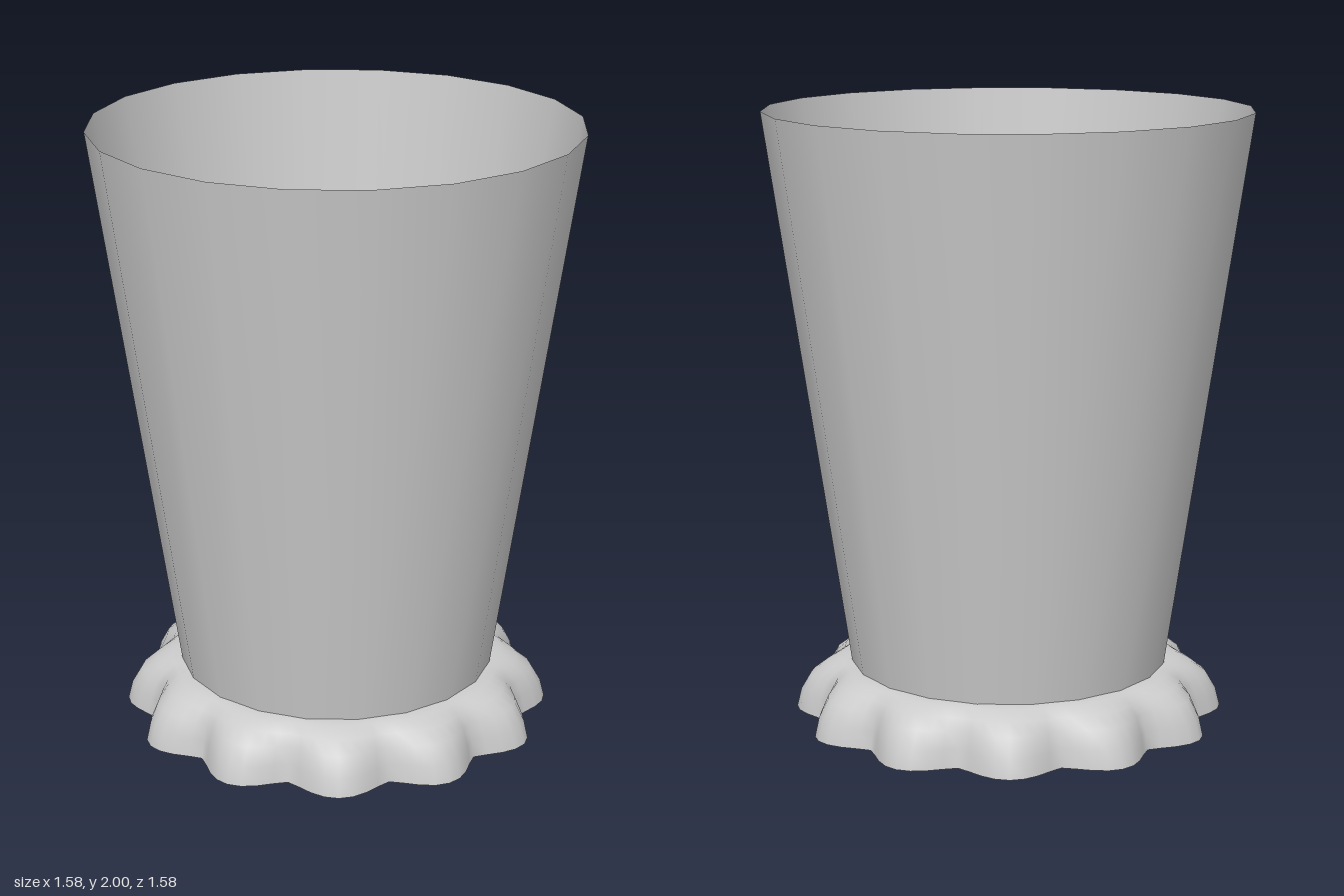
import * as THREE from 'three';

const SIDES = 20;      // facets of the cup wall
const LOBES = 12;      // scallops around the foot
const PHASE = -0.09;   // turn of the scallops

// Scalloped skirt: closed rings swept from the cup wall out to the wavy hem
function skirtGeometry() {
  // [notch radius, lobe radius, notch height, lobe height]
  const rings = [
    [0.515, 0.515, 0.18, 0.18],
    [0.55, 0.56, 0.175, 0.178],
    [0.58, 0.61, 0.15, 0.155],
    [0.6, 0.66, 0.115, 0.12],
    [0.615, 0.695, 0.06, 0.06],
    [0.625, 0.71, 0, 0],
  ];
  const n = LOBES * 8;
  const pos = [], idx = [];
  rings.forEach(([r0, r1, y0, y1], j) => {
    for (let i = 0; i < n; i++) {
      const a = (i / n) * Math.PI * 2;
      const wave = Math.pow(0.5 + 0.5 * Math.cos(LOBES * a), 0.7);
      const r = r0 + (r1 - r0) * wave;
      pos.push(r * Math.cos(a + PHASE), y0 + (y1 - y0) * wave, r * Math.sin(a + PHASE));
      if (j > 0) {
        const k = (i + 1) % n, p = (j - 1) * n, q = j * n;
        idx.push(p + i, p + k, q + i, p + k, q + k, q + i);
      }
    }
  });
  const g = new THREE.BufferGeometry();
  g.setAttribute('position', new THREE.Float32BufferAttribute(pos, 3));
  g.setIndex(idx);
  g.computeVertexNormals();
  return g;
}

export function createModel() {
  const group = new THREE.Group();
  const material = new THREE.MeshStandardMaterial({ color: 0xcccccc, side: THREE.DoubleSide });
  const add = (name, geometry) => {
    const mesh = new THREE.Mesh(geometry, material);
    mesh.name = name;
    group.add(mesh);
    return mesh;
  };

  // Thin tapered wall, open at the top
  const floorY = 0.04, floorR = 0.503;
  const wall = add('cupWall', new THREE.CylinderGeometry(0.79, floorR, 2 - floorY, SIDES, 1, true));
  wall.position.y = (2 + floorY) / 2;

  // Flat floor closing the bottom
  const floor = add('cupFloor', new THREE.CircleGeometry(floorR, SIDES));
  floor.rotation.x = -Math.PI / 2;
  floor.position.y = floorY;

  // Scalloped foot
  add('scallopedFoot', skirtGeometry());

  return group;
}
